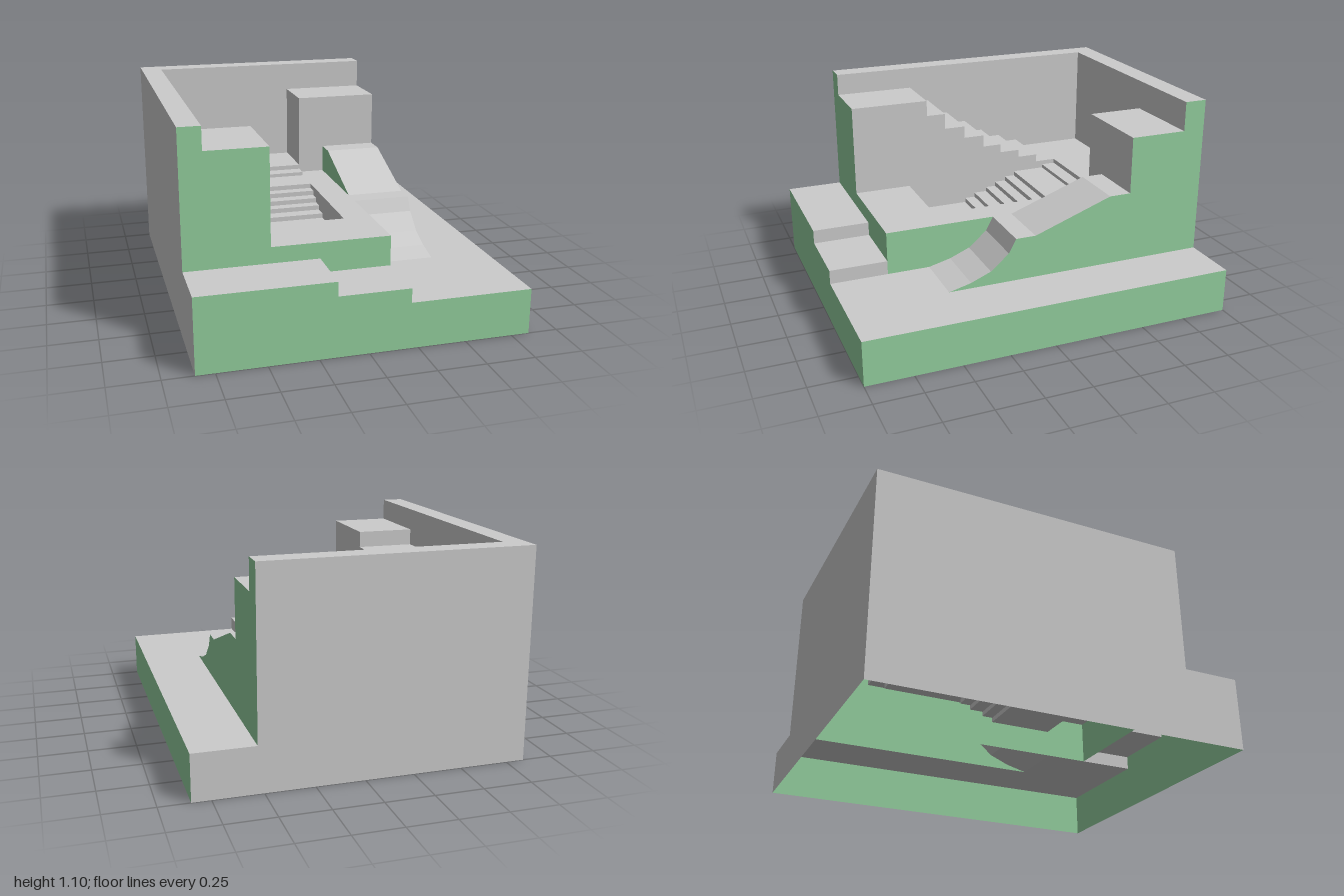
import * as THREE from 'three';

const grey = new THREE.MeshStandardMaterial({ color: 0xcccccc, flatShading: true, side: THREE.DoubleSide });
const green = new THREE.MeshStandardMaterial({ color: 0x93cf9e, flatShading: true, side: THREE.DoubleSide });

export function createModel() {
  const group = new THREE.Group();
  const add = (name, geometry, material = grey) => {
    const mesh = new THREE.Mesh(geometry, material);
    mesh.name = name;
    group.add(mesh);
    return mesh;
  };

  // Surface swept from x0 to x1 along a [z, y] path running front to back
  const ribbon = (name, x0, x1, path) => {
    const pos = [];
    for (let i = 0; i + 1 < path.length; i++) {
      const [z0, y0] = path[i], [z1, y1] = path[i + 1];
      pos.push(x0, y0, z0, x1, y0, z0, x1, y1, z1, x0, y0, z0, x1, y1, z1, x0, y1, z1);
    }
    const g = new THREE.BufferGeometry();
    g.setAttribute('position', new THREE.Float32BufferAttribute(pos, 3));
    g.computeVertexNormals();
    add(name, g);
  };
  // Flat wall across z, outlined by [x, y] points
  const wallZ = (name, z, pts, material) => {
    const shape = new THREE.Shape(pts.map(([x, y]) => new THREE.Vector2(x, y)));
    add(name, new THREE.ShapeGeometry(shape).translate(0, 0, z), material);
  };
  // Flat wall across x, outlined by [z, y] points
  const wallX = (name, x, pts, material) => {
    const shape = new THREE.Shape(pts.map(([z, y]) => new THREE.Vector2(-z, y)));
    add(name, new THREE.ShapeGeometry(shape).rotateY(Math.PI / 2).translate(x, 0, 0), material);
  };
  const rect = (a0, a1, b0, b1) => [[a0, b0], [a1, b0], [a1, b1], [a0, b1]];

  // Main levels
  const L = -0.845, R = 0.845, front = 0.69;
  const base = 0.24, floor = 0.475, pit = 0.32, deck = 0.52, block = 0.94, top = 1.1;
  const wallIn = -0.73, stairX = -0.41, pitX = 0.06, rampIn = 0.21, rampOut = 0.53;
  const backRise = [[-0.88, top], [-1, top]];

  // Side stairs falling from the high block to the deck
  const sideStairs = [[front, 0.98]];
  const edges = [0.25, 0.14, 0.02, -0.1, -0.21, -0.33, -0.45];
  const treads = [0.98, 0.89, 0.8, 0.73, 0.66, 0.61, 0.565, deck];
  edges.forEach((z, i) => sideStairs.push([z, treads[i]], [z, treads[i + 1]]));

  // Sunken stairs climbing out of the pit
  const pitPath = [[0.37, floor], [0.37, pit]];
  const pitEdges = [0.02, -0.04, -0.115, -0.175, -0.24, -0.3];
  pitEdges.forEach((z, i) => {
    const h = (floor - pit) / pitEdges.length;
    pitPath.push([z, pit + i * h], [z, pit + (i + 1) * h]);
  });

  // Curved lower ramp, landing and upper slope
  const ramp = [[0.46, base], [0.34, 0.27], [0.23, 0.315], [0.13, 0.4], [0.09, floor],
    [-0.02, floor], [-0.45, 0.63], [-0.57, 0.63]];

  // Upper surfaces, strip by strip
  ribbon('leftWallTop', L, wallIn, [[front, top], [-1, top]]);
  ribbon('sideStairs', wallIn, stairX, [...sideStairs, [-0.88, deck], ...backRise]);
  ribbon('courtyardStairs', stairX, pitX, [[front, floor], ...pitPath, [-0.49, floor],
    [-0.49, 0.495], [-0.57, 0.495], [-0.57, deck], [-0.88, deck], ...backRise]);
  ribbon('courtyardEdge', pitX, rampIn, [[front, floor], [-0.57, floor], [-0.57, block],
    [-0.88, block], ...backRise]);
  ribbon('ramp', rampIn, rampOut, [[1, base], ...ramp, [-0.57, block], [-0.88, block], ...backRise]);
  ribbon('baseTop', rampOut, R, [[1, base], [-1, base]]);
  ribbon('highLedge', L, -0.16, [[1, 0.39], [front, 0.39]]);
  ribbon('lowLedge', -0.16, rampIn, [[1, 0.315], [front, 0.315]]);

  // Inner side walls
  wallX('leftInnerWall', wallIn, [...sideStairs, [-0.88, deck], [-0.88, top], [front, top]]);
  wallX('sideStairWall', stairX, [[front, floor], ...sideStairs, [-0.57, deck], [-0.57, 0.495],
    [-0.49, 0.495], [-0.49, floor]]);
  for (const x of [stairX, pitX]) wallX('pitWall', x, pitPath);
  wallX('blockSide', pitX, rect(-0.57, -0.88, deck, block));
  wallX('blockFoot', pitX, rect(-0.49, -0.57, floor, 0.495));
  wallX('highLedgeEnd', -0.16, rect(1, front, 0.315, 0.39));
  wallX('lowLedgeEnd', rampIn, rect(1, front, base, 0.315));

  // Green cut faces towards the front and right
  wallZ('baseFront', 1, [[L, 0], [R, 0], [R, base], [rampIn, base], [rampIn, 0.315],
    [-0.16, 0.315], [-0.16, 0.39], [L, 0.39]], green);
  wallZ('terraceFront', front, [[L, base], [rampIn, base], [rampIn, floor], [stairX, floor],
    [stairX, 0.98], [wallIn, 0.98], [wallIn, top], [L, top]], green);
  wallX('baseRight', R, rect(1, -1, 0, base), green);
  wallX('rampOuterSide', rampOut, [...ramp, [-0.57, block], [-0.88, block], ...backRise, [-1, base]], green);
  wallX('rampInnerSide', rampIn, [[front, base], [front, floor], ...ramp.slice(5), [-0.57, base]], green);

  // Outer walls at the back and left; the underside stays open
  wallZ('backWall', -1, [[L, 0], [R, 0], [R, base], [rampOut, base], [rampOut, top], [L, top]]);
  wallX('leftWall', L, [[1, 0], [-1, 0], [-1, top], [front, top], [front, 0.39], [1, 0.39]]);

  return group;
}
